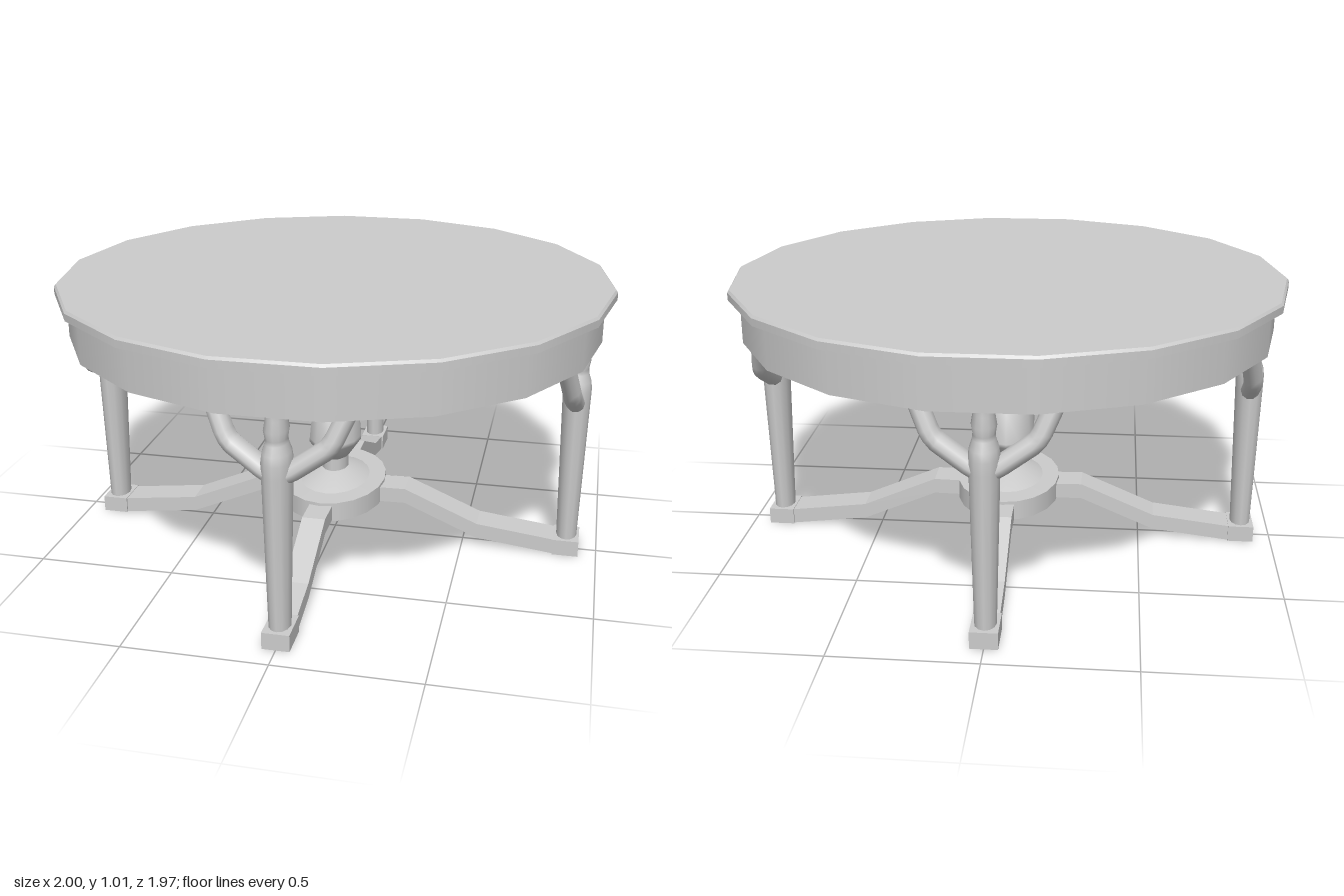
import * as THREE from 'three';

const material = new THREE.MeshStandardMaterial({ color: 0xcccccc, side: THREE.DoubleSide });
const STRETCH = 1.38; // legs and centrepiece are wider along z than along x
const SIDES = 18;

function part(name, geometry, parent) {
  const mesh = new THREE.Mesh(geometry, material);
  mesh.name = name;
  parent.add(mesh);
  return mesh;
}

const lathe = (points, sides) =>
  new THREE.LatheGeometry(points.map(([r, y]) => new THREE.Vector2(r, y)), sides);

// Foot block, turned post and two bent braces; local +x points outward
function makeLeg() {
  const leg = new THREE.Group();
  leg.name = 'leg';
  part('foot', new THREE.BoxGeometry(0.094, 0.06, 0.094), leg).position.y = 0.03;
  part('post', lathe([
    [0.037, 0.05], [0.05, 0.6], [0.051, 0.645], [0.047, 0.675], [0.037, 0.705],
    [0.036, 0.72], [0.041, 0.75], [0.035, 0.785], [0.037, 0.82], [0.037, 0.9],
  ], 12), leg);
  for (const s of [-1, 1]) {
    const path = new THREE.CurvePath();
    const pts = [[0, 0.59, 0.01], [-0.003, 0.612, 0.05], [-0.012, 0.685, 0.155],
      [-0.016, 0.71, 0.173], [-0.04, 0.82, 0.222], [-0.045, 0.87, 0.243]]
      .map(([x, y, z]) => new THREE.Vector3(x, y, z * s));
    for (let i = 1; i < pts.length; i++) path.add(new THREE.LineCurve3(pts[i - 1], pts[i]));
    part('brace', new THREE.TubeGeometry(path, 16, 0.033, 10), leg);
  }
  return leg;
}

// Bent flat bar; points run [distance from centre, height of underside]
function stretcherGeometry(points, halfWidth) {
  const under = points.map(([r, y]) => new THREE.Vector2(r, y));
  const over = points.map(([r, y]) => new THREE.Vector2(r, y + 0.057)).reverse();
  const geometry = new THREE.ExtrudeGeometry(new THREE.Shape([...under, ...over]),
    { depth: halfWidth * 2, bevelEnabled: false });
  return geometry.translate(0, 0, -halfWidth);
}

export function createModel() {
  const table = new THREE.Group();
  table.name = 'roundTable';

  // Tabletop with a slim softened edge
  const top = new THREE.Group();
  top.name = 'top';
  top.rotation.y = Math.PI / 2;
  table.add(top);
  part('tabletop', new THREE.CylinderGeometry(1, 1, 0.026, SIDES), top).position.y = 0.99;
  part('tabletopEdge', new THREE.CylinderGeometry(0.993, 1, 0.009, SIDES), top).position.y = 1.0075;

  // Hollow apron under the top
  part('apron', new THREE.CylinderGeometry(0.96, 0.96, 0.16, SIDES, 1, true), top).position.y = 0.9;

  // Four legs and the bars joining them to the centre
  const alongX = [[0.16, 0.15], [0.28, 0.152], [0.555, 0.035], [0.84, 0.001], [0.88, 0.001]];
  const alongZ = [[0.22, 0.15], [0.37, 0.152], [0.63, 0.035], [0.79, 0.001], [0.85, 0.001]];
  for (let i = 0; i < 4; i++) {
    const angle = i * Math.PI / 2;
    const onX = i % 2 === 0;
    const holder = new THREE.Group();
    holder.name = 'legHolder';
    const r = onX ? 0.887 : 0.85;
    holder.position.set(Math.cos(angle) * r, 0, -Math.sin(angle) * r);
    holder.scale.z = STRETCH;
    const leg = makeLeg();
    leg.rotation.y = angle;
    holder.add(leg);
    table.add(holder);
    const bar = part('stretcher', stretcherGeometry(onX ? alongX : alongZ, onX ? 0.058 : 0.042), table);
    bar.rotation.y = angle;
  }

  // Oval centrepiece: hollow ring, sloped plate, short neck and urn
  const centre = new THREE.Group();
  centre.name = 'centrepiece';
  centre.scale.z = STRETCH;
  table.add(centre);
  part('ring', new THREE.CylinderGeometry(0.192, 0.192, 0.072, 20, 1, true), centre).position.y = 0.183;
  part('plate', lathe([[0.192, 0.219], [0.13, 0.22]], 20), centre);
  part('plateSlope', lathe([[0.13, 0.22], [0.05, 0.262], [0, 0.262]], 20), centre);
  part('neck', lathe([[0.05, 0.255], [0.05, 0.315]], 12), centre);
  part('urn', lathe([[0, 0.31], [0.055, 0.312], [0.098, 0.375], [0.098, 0.39],
    [0.086, 0.505], [0.06, 0.535], [0, 0.545]], 12), centre);

  return table;
}
